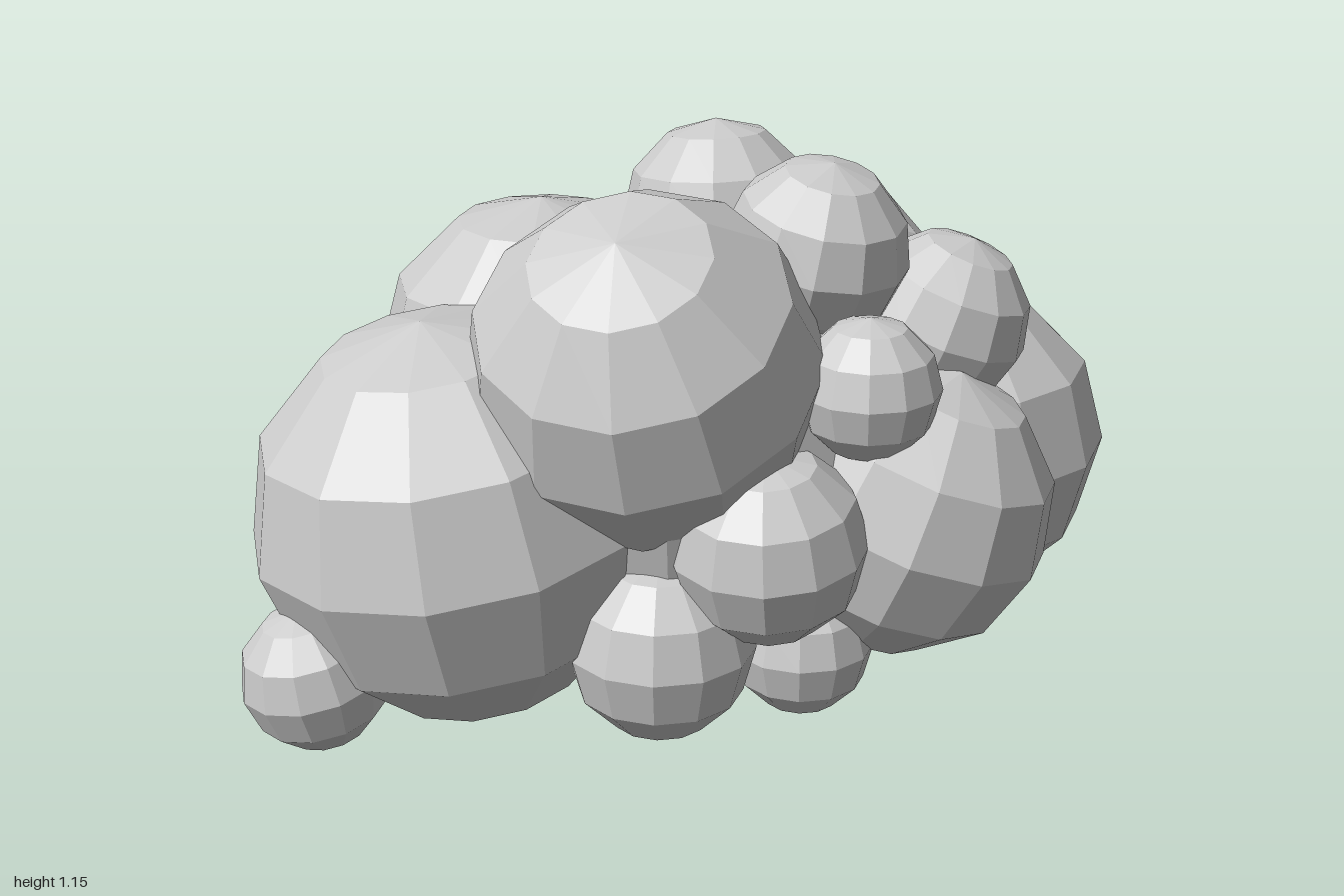
import * as THREE from 'three';

const material = new THREE.MeshStandardMaterial({ color: 0xcccccc, flatShading: true });

// Faceted ball; tilt turns its pole about x and z
function puff(name, [x, y, z], r, [tx, tz] = [0, 0]) {
  const mesh = new THREE.Mesh(new THREE.SphereGeometry(r, 12, 6), material);
  mesh.name = name;
  mesh.position.set(x, y, z);
  mesh.rotation.set(tx, 0, tz);
  return mesh;
}

// Central ball with its top and bottom cut flat at the first ring
function core(r) {
  const mesh = puff('core', [0, 0.5, 0], r);
  const p = mesh.geometry.attributes.position;
  const limit = r * Math.cos(Math.PI / 6);
  for (let i = 0; i < p.count; i++) {
    p.setY(i, THREE.MathUtils.clamp(p.getY(i), -limit, limit));
  }
  mesh.geometry.computeVertexNormals();
  return mesh;
}

export function createModel() {
  const cloud = new THREE.Group();
  cloud.name = 'cloud';
  cloud.add(core(0.5));

  const puffs = [
    // Large puffs
    ['leftPuff', [0.64, 0.41, 0], 0.36],
    ['rightPuff', [-0.52, 0.44, 0], 0.43, [0, 0.15]],
    ['frontUpperPuff', [-0.2, 0.78, 0.235], 0.365, [0.4, 0.35]],
    ['backUpperPuff', [-0.19, 0.63, -0.3], 0.36],
    ['backLeftPuff', [0.41, 0.65, -0.26], 0.345, [-0.4, -0.3]],
    ['frontLeftPuff', [0.34, 0.43, 0.345], 0.315, [0.2, -0.3]],
    // Small puffs on top
    ['topFrontPuff', [0.2, 0.96, 0.2], 0.195, [0.2, -0.1]],
    ['topBackPuff', [0.165, 0.94, -0.16], 0.21, [-0.1, 0]],
    ['upperLeftPuff', [0.48, 0.78, 0.235], 0.19, [0.2, -0.3]],
    // Small puffs in front
    ['upperFrontPuff', [0.19, 0.745, 0.445], 0.147],
    ['middleFrontPuff', [-0.03, 0.45, 0.44], 0.205, [0.1, 0.1]],
    ['lowerFrontPuff', [-0.22, 0.225, 0.34], 0.195],
    ['bottomFrontPuff', [0.1, 0.165, 0.35], 0.15],
    // Small puffs at the right end and at the back
    ['endPuff', [-0.85, 0.155, 0.03], 0.155, [0, 0.2]],
    ['lowerBackLeftPuff', [0.44, 0.205, -0.32], 0.19, [-0.3, -0.2]],
    ['middleBackPuff', [0.14, 0.41, -0.47], 0.165],
    ['lowerBackPuff', [-0.04, 0.2, -0.42], 0.15],
  ];
  for (const args of puffs) cloud.add(puff(...args));
  return cloud;
}
